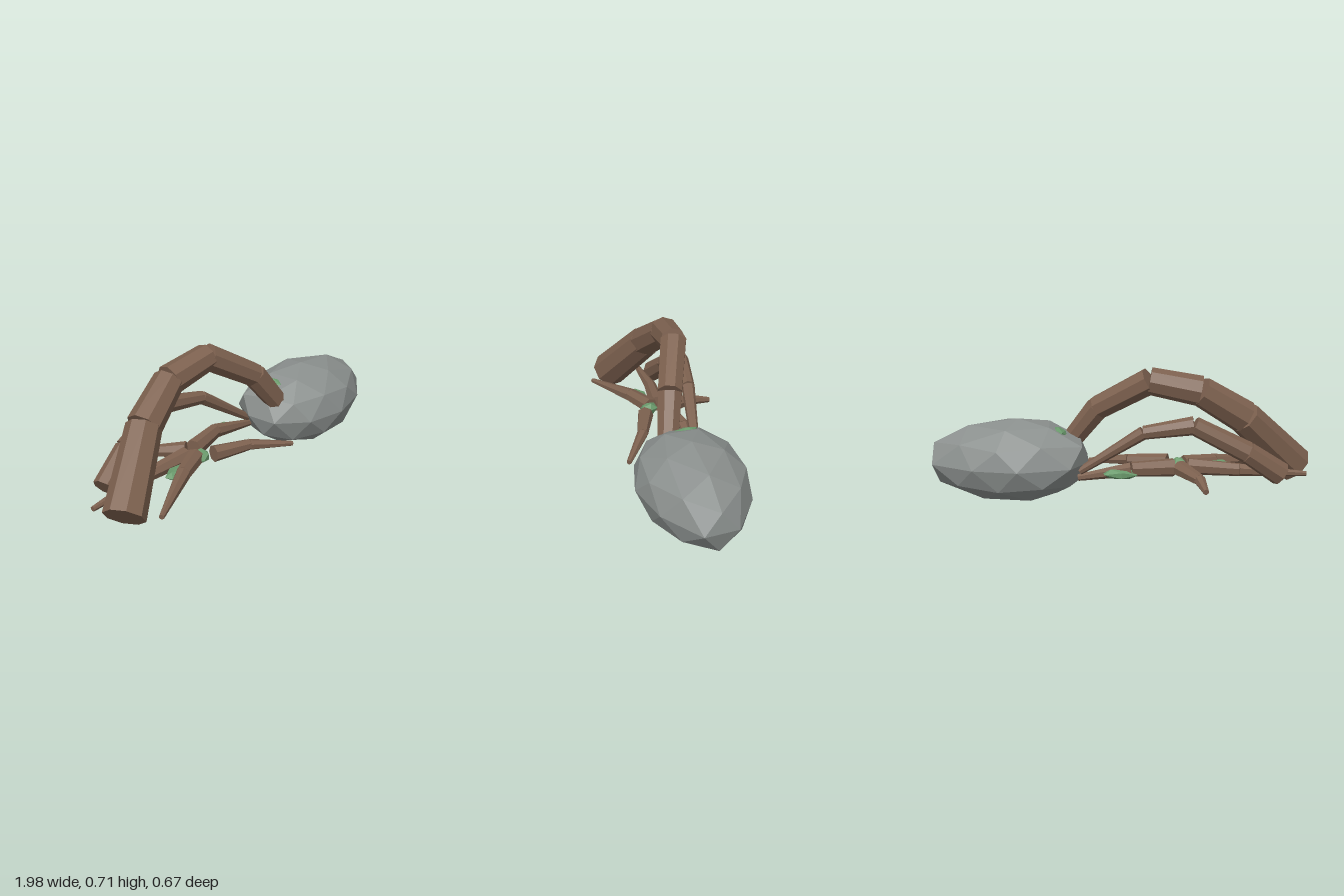
import * as THREE from 'three';

const material = (name, color) => {
  const m = new THREE.MeshStandardMaterial({ color, flatShading: true });
  m.name = name;
  return m;
};

export function createModel() {
  const model = new THREE.Group();
  const bark = material('bark brown', 0x7d614f);
  const stone = material('stone grey', 0x8b908e);
  const green = material('leaf green', 0x6a9a6c);

  // A root is a chain of straight tapering segments; each point is [x, y, z, radius]
  function root(name, sides, points) {
    const group = new THREE.Group();
    group.name = name;
    for (let i = 0; i < points.length - 1; i++) {
      const a = new THREE.Vector3(...points[i]);
      const b = new THREE.Vector3(...points[i + 1]);
      const dir = b.clone().sub(a);
      const length = dir.length();
      const seg = new THREE.Mesh(
        new THREE.CylinderGeometry(points[i + 1][3], points[i][3], length, sides), bark);
      seg.name = 'rootSegment';
      seg.position.copy(a).add(b).multiplyScalar(0.5);
      seg.quaternion.setFromUnitVectors(new THREE.Vector3(0, 1, 0), dir.normalize());
      group.add(seg);
    }
    model.add(group);
  }

  // Large and medium arched roots
  root('largeArchRoot', 8, [
    [-0.92, 0.155, 0.115, 0.102], [-0.62, 0.45, -0.03, 0.088], [-0.39, 0.595, -0.075, 0.078],
    [-0.135, 0.645, -0.05, 0.07], [0.125, 0.49, 0.045, 0.064], [0.275, 0.29, 0.1, 0.054]]);
  root('mediumArchRoot', 8, [
    [-0.8, 0.17, -0.125, 0.062], [-0.62, 0.295, -0.155, 0.056], [-0.35, 0.435, -0.15, 0.048],
    [-0.1, 0.395, -0.12, 0.035], [0.22, 0.185, -0.065, 0.02]]);

  // Small ground roots spreading from the middle
  root('frontLeftRoot', 7, [
    [0.165, 0.15, 0.27, 0.013], [-0.04, 0.185, 0.145, 0.029], [-0.24, 0.19, 0.075, 0.043]].reverse());
  root('backLeftRoot', 7, [
    [-0.26, 0.19, -0.04, 0.048], [-0.04, 0.195, -0.08, 0.038], [0.23, 0.15, -0.06, 0.018]]);
  root('frontRightRoot', 7, [
    [-0.32, 0.19, 0.025, 0.045], [-0.49, 0.185, 0.09, 0.038], [-0.81, 0.15, 0.24, 0.013]]);
  root('backRightRoot', 7, [
    [-0.34, 0.19, -0.02, 0.045], [-0.6, 0.175, -0.05, 0.034], [-0.95, 0.15, -0.055, 0.013]]);
  root('backRoot', 7, [
    [-0.29, 0.19, -0.06, 0.043], [-0.375, 0.17, -0.21, 0.03], [-0.39, 0.145, -0.335, 0.015]]);

  // Boulder: faceted sphere with a pole on top, stretched unevenly along x
  const rock = new THREE.IcosahedronGeometry(1, 1);
  rock.rotateZ(-Math.atan(2 / (1 + Math.sqrt(5))));
  const p = rock.attributes.position;
  for (let i = 0; i < p.count; i++) {
    const x = p.getX(i), y = p.getY(i), z = p.getZ(i);
    const c = Math.abs(x) / (Math.hypot(x, z) || 1);
    const stretch = x > 0 ? 0.375 + 0.11 * c ** 3 + 0.03 * c * z : z < -0.5 ? 0.45 : 0.375;
    p.setXYZ(i, x * stretch, y * 0.2165, z * 0.275);
  }
  rock.computeVertexNormals();
  const boulder = new THREE.Mesh(rock, stone);
  boulder.name = 'boulder';
  boulder.position.set(0.533, 0.219, 0.06);
  model.add(boulder);

  // Moss clumps: position, half sizes, rotation
  [
    [[0.015, 0.175, -0.1], [0.1, 0.028, 0.04], [0, 0.1, 0.05]],
    [[-0.49, 0.18, 0.045], [0.085, 0.025, 0.04], [0, 0.25, 0]],
    [[-0.3, 0.19, 0.04], [0.05, 0.035, 0.05], [0, 0.5, 0.2]],
    [[0.318, 0.37, 0.022], [0.042, 0.022, 0.068], [0, 0.1, 0.5]],
  ].forEach(([pos, size, rot]) => {
    const moss = new THREE.Mesh(new THREE.IcosahedronGeometry(1, 0), green);
    moss.name = 'mossClump';
    moss.position.set(...pos);
    moss.scale.set(...size);
    moss.rotation.set(...rot);
    model.add(moss);
  });

  return model;
}
